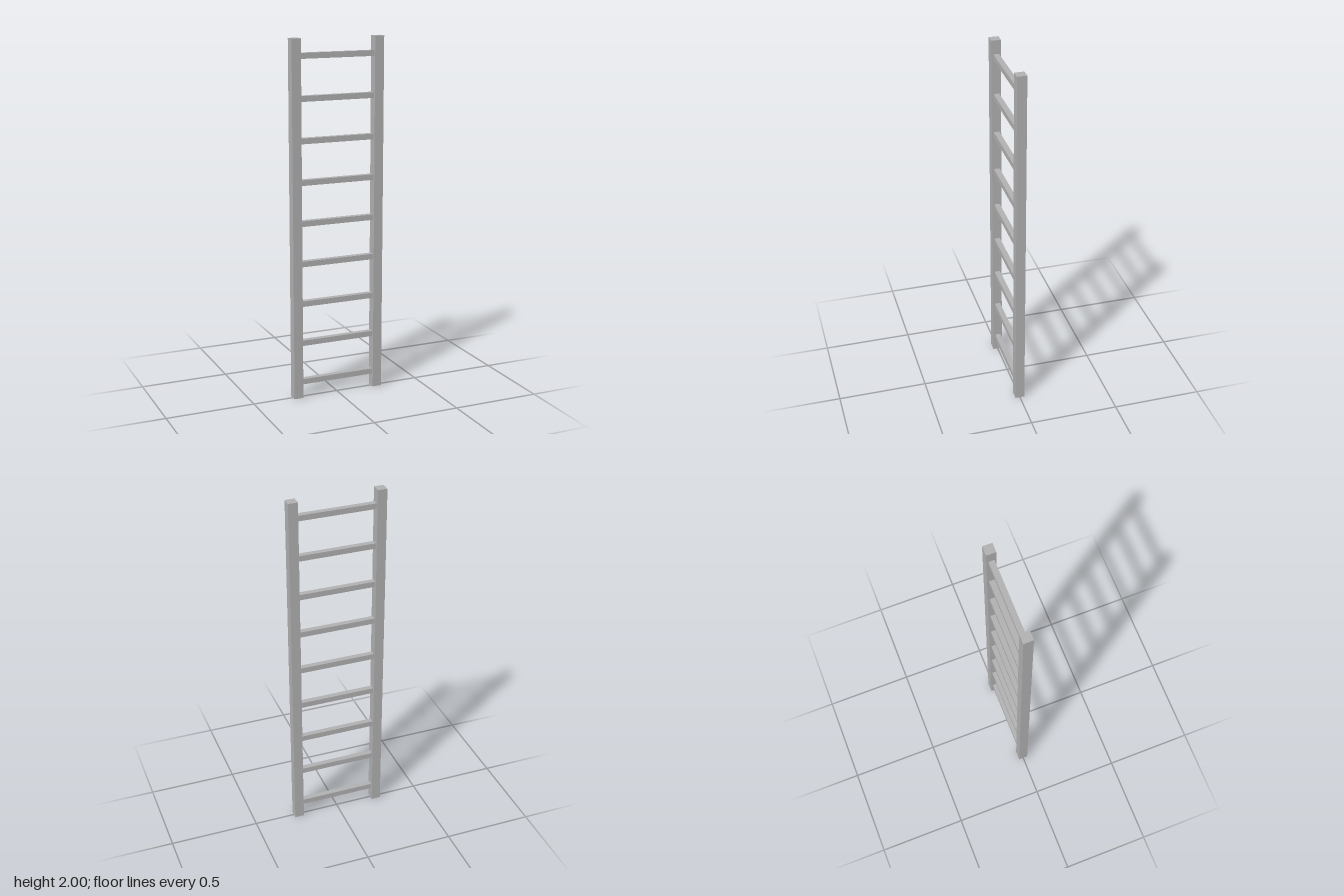
import * as THREE from 'three';

const HEIGHT = 2;
const RAIL = 0.053;        // square rail section
const RAIL_X = 0.2415;     // rail centre offset
const RUNG = 0.031;        // square rung section
const RUNG_COUNT = 9;
const FIRST_RUNG = 0.091;
const RUNG_STEP = 0.227;

export function createModel() {
  const ladder = new THREE.Group();
  ladder.name = 'ladder';
  const grey = new THREE.MeshStandardMaterial({ color: 0xb0b0b0 });
  grey.name = 'plain grey';

  // Two upright rails
  const railGeometry = new THREE.BoxGeometry(RAIL, HEIGHT, RAIL);
  for (const side of [-1, 1]) {
    const rail = new THREE.Mesh(railGeometry, grey);
    rail.name = side > 0 ? 'leftRail' : 'rightRail';
    rail.position.set(side * RAIL_X, HEIGHT / 2, 0);
    ladder.add(rail);
  }

  // Evenly spaced rungs spanning between the inner rail faces
  const rungGeometry = new THREE.BoxGeometry(2 * RAIL_X - RAIL, RUNG, RUNG);
  for (let i = 0; i < RUNG_COUNT; i++) {
    const rung = new THREE.Mesh(rungGeometry, grey);
    rung.name = `rung${i + 1}`;
    rung.position.y = FIRST_RUNG + i * RUNG_STEP;
    ladder.add(rung);
  }

  return ladder;
}
